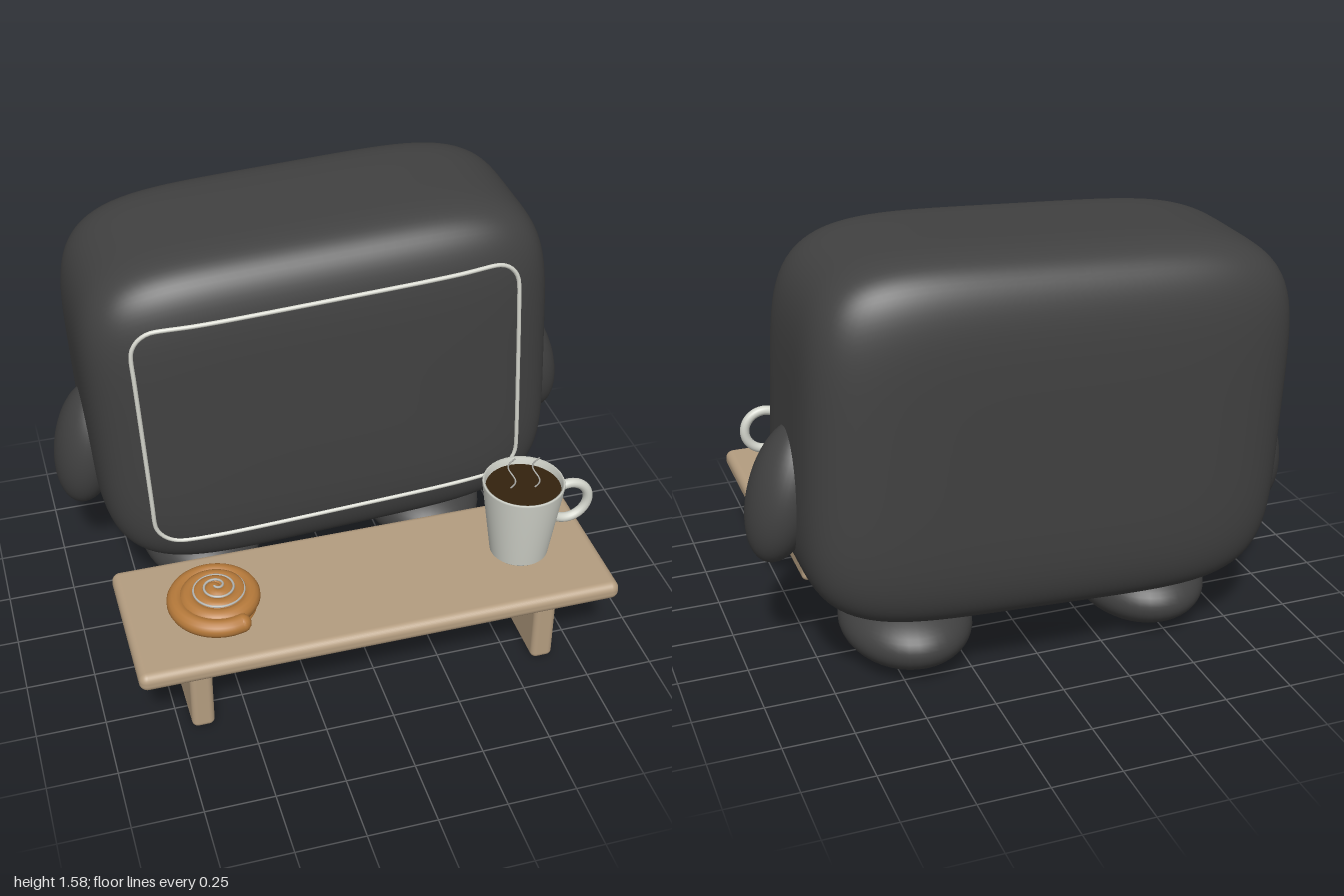
import * as THREE from 'three';
import { RoundedBoxGeometry } from 'three/addons/geometries/RoundedBoxGeometry.js';

const mat = (name, color, side = THREE.FrontSide) => {
  const m = new THREE.MeshStandardMaterial({ color, side });
  m.name = name;
  return m;
};

function add(parent, name, geometry, material, x = 0, y = 0, z = 0) {
  const mesh = new THREE.Mesh(geometry, material);
  mesh.name = name;
  mesh.position.set(x, y, z);
  parent.add(mesh);
  return mesh;
}

const tube = (points, radius, segments, closed = false, sides = 8) =>
  new THREE.TubeGeometry(new THREE.CatmullRomCurve3(points, closed), segments, radius, sides, closed);

// Soft pillow-like box: a cube pushed out onto a superellipsoid of power 5
const HALF = { x: 0.867, y: 0.66, z: 0.42 }, POWER = 5;
function softBox() {
  const g = new THREE.BoxGeometry(2, 2, 2, 36, 36, 36);
  const p = g.attributes.position, n = g.attributes.normal;
  const v = new THREE.Vector3();
  for (let i = 0; i < p.count; i++) {
    v.fromBufferAttribute(p, i);
    const len = (Math.abs(v.x) ** POWER + Math.abs(v.y) ** POWER + Math.abs(v.z) ** POWER) ** (1 / POWER);
    v.divideScalar(len);
    p.setXYZ(i, v.x * HALF.x, v.y * HALF.y, v.z * HALF.z);
    const slope = (t, h) => Math.sign(t) * Math.abs(t) ** (POWER - 1) / h;
    v.set(slope(v.x, HALF.x), slope(v.y, HALF.y), slope(v.z, HALF.z)).normalize();
    n.setXYZ(i, v.x, v.y, v.z);
  }
  return g;
}
const frontZ = (x, y) =>
  HALF.z * (1 - Math.abs(x / HALF.x) ** POWER - Math.abs(y / HALF.y) ** POWER) ** (1 / POWER);

// Rounded rectangle laid on the curved front face
function outlinePoints(w, h, r) {
  const pts = [];
  const corners = [[1, 1], [-1, 1], [-1, -1], [1, -1]];
  corners.forEach(([sx, sy], c) => {
    const [nx, ny] = corners[(c + 1) % 4];
    for (let i = 0; i <= 6; i++) {
      const a = (c + i / 6) * Math.PI / 2;
      pts.push([sx * (w - r) + Math.cos(a) * r, sy * (h - r) + Math.sin(a) * r]);
    }
    const [x0, y0] = pts[pts.length - 1];
    const a = (c + 1) * Math.PI / 2;
    const x1 = nx * (w - r) + Math.cos(a) * r, y1 = ny * (h - r) + Math.sin(a) * r;
    for (let i = 1; i < 10; i++) pts.push([x0 + (x1 - x0) * i / 10, y0 + (y1 - y0) * i / 10]);
  });
  return pts.map(([x, y]) => new THREE.Vector3(x, y, frontZ(x, y) + 0.002));
}

export function createModel() {
  const model = new THREE.Group();
  const charcoal = mat('charcoal', 0x414141);
  const offWhite = mat('off white', 0xd6d7ce);
  const china = mat('china', 0xd2d4cb, THREE.DoubleSide);
  const wood = mat('wood', 0xb49d80);
  const coffeeBrown = mat('coffee brown', 0x33220e);
  const pastry = mat('pastry', 0xb5793a);
  const icing = mat('icing', 0xb9b9b4);

  // Leaning body with screen outline and arms
  const body = new THREE.Group();
  body.name = 'body';
  body.position.set(-0.025, 0.902, -0.32);
  body.rotation.z = 0.05;
  model.add(body);
  add(body, 'torso', softBox(), charcoal);
  add(body, 'screenOutline', tube(outlinePoints(0.7, 0.462, 0.1), 0.008, 240, true), offWhite);
  const ball = new THREE.SphereGeometry(1, 40, 28);
  for (const s of [1, -1]) {
    const arm = add(body, s > 0 ? 'leftArm' : 'rightArm', ball, charcoal, s * 0.868, -0.225, -0.01);
    arm.scale.set(0.12, 0.257, 0.155);
    arm.rotation.z = s * 0.25;
  }

  // Feet
  for (const s of [1, -1]) {
    const foot = add(model, s > 0 ? 'leftFoot' : 'rightFoot', ball, charcoal, -0.02 + s * 0.455, 0.14, -0.305);
    foot.scale.set(0.235, 0.135, 0.3);
  }

  // Low table
  const table = new THREE.Group();
  table.name = 'table';
  model.add(table);
  add(table, 'tableTop', new RoundedBoxGeometry(1.745, 0.07, 0.575, 4, 0.03), wood, -0.022, 0.37, 0.448);
  for (const x of [-0.665, 0.622])
    add(table, 'tableLeg', new RoundedBoxGeometry(0.082, 0.35, 0.335, 4, 0.022), wood, x, 0.175, 0.452);

  // Mug with coffee and steam
  const mug = new THREE.Group();
  mug.name = 'mug';
  mug.position.set(0.565, 0.405, 0.45);
  model.add(mug);
  const wall = [[0, 0.004], [0.098, 0.004], [0.106, 0.012], [0.148, 0.312], [0.145, 0.319],
    [0.138, 0.316], [0.134, 0.28]].map(([r, y]) => new THREE.Vector2(r, y));
  add(mug, 'cup', new THREE.LatheGeometry(wall, 48), china);
  add(mug, 'handle', new THREE.TorusGeometry(0.078, 0.018, 14, 40), china, 0.178, 0.192, 0);
  const coffee = add(mug, 'coffee', new THREE.CircleGeometry(0.137, 48), coffeeBrown, 0, 0.29, 0);
  coffee.rotation.x = -Math.PI / 2;
  for (const [x, z] of [[-0.045, -0.008], [0.04, 0.01]]) {
    const pts = [];
    for (let i = 0; i <= 12; i++) {
      const t = i / 12, sway = Math.sin(t * Math.PI * 2.2);
      pts.push(new THREE.Vector3(x + 0.013 * sway, 0.29 + t * 0.135, z + 0.008 * sway));
    }
    add(mug, 'steam', tube(pts, 0.003, 36, false, 6), icing);
  }

  // Rolled bun with an icing swirl in its groove
  const bun = new THREE.Group();
  bun.name = 'bun';
  bun.position.set(-0.565, 0.405, 0.45);
  model.add(bun);
  const spiral = (r0, r1, y0, y1, turns) => {
    const pts = [];
    for (let i = 0; i <= 80; i++) {
      const t = i / 80, a = 1.2 + t * turns * Math.PI * 2, r = r0 + (r1 - r0) * t;
      pts.push(new THREE.Vector3(Math.cos(a) * r, y0 + (y1 - y0) * t, Math.sin(a) * r));
    }
    return pts;
  };
  const dough = spiral(0.157, 0.012, 0.038, 0.07, 3.4);
  add(bun, 'dough', tube(dough, 0.033, 220, false, 14), pastry);
  for (const p of [dough[0], dough[80]])
    add(bun, 'doughEnd', new THREE.SphereGeometry(0.033, 16, 12), pastry, p.x, p.y, p.z);
  const base = add(bun, 'bunBase', new THREE.CylinderGeometry(0.13, 0.14, 0.04, 40), pastry, 0, 0.025, 0);
  base.name = 'bunBase';
  add(bun, 'icingSwirl', tube(spiral(0.13, 0.01, 0.067, 0.105, 3.2), 0.0045, 200, false, 6), icing);

  return model;
}
